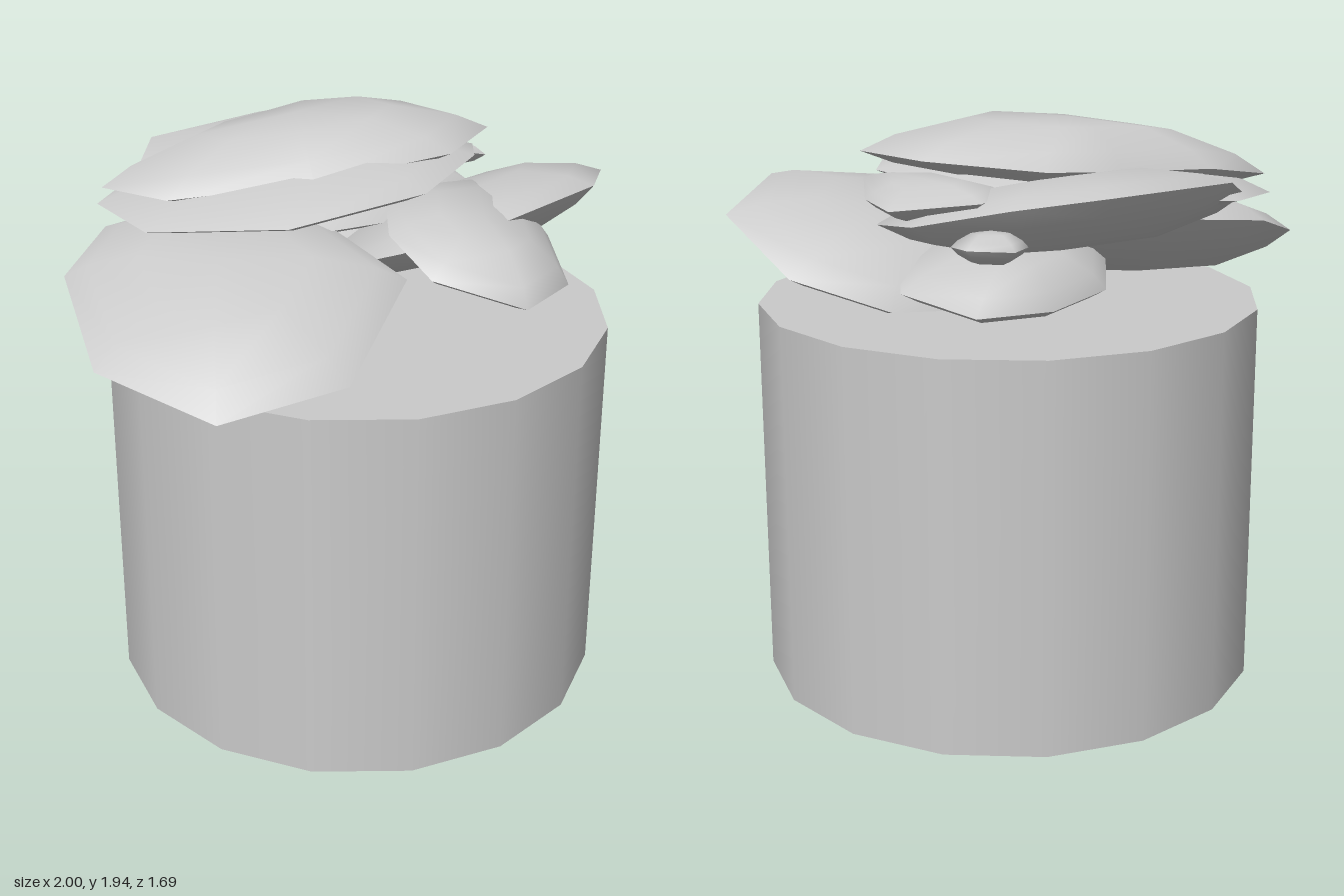
import * as THREE from 'three';

const stone = new THREE.MeshStandardMaterial({ color: 0xcacaca });
stone.name = 'stone grey';

// Lens-shaped slab: a sharp rim polygon, domed above by `up` and below by `down`
function slab(name, rim, up, down) {
  const pts = rim.map((p) => new THREE.Vector3(...p));
  const n = pts.length;
  const centre = new THREE.Vector3();
  pts.forEach((p) => centre.addScaledVector(p, 1 / n));
  const normal = new THREE.Vector3();
  pts.forEach((p, i) => {
    const a = p.clone().sub(centre);
    normal.add(a.cross(pts[(i + 1) % n].clone().sub(centre)));
  });
  normal.normalize();
  if (normal.y < 0) {
    normal.negate();
    pts.reverse();
  }
  const pos = [];
  const index = [];
  const scales = [1, 0.84, 0.5];
  // Each side has its own vertices, so the rim stays creased
  for (const bulge of [up, -down]) {
    const base = pos.length / 3;
    const tri = (a, b, c) => (bulge > 0 ? index.push(a, b, c) : index.push(a, c, b));
    for (const s of scales) {
      for (const p of pts) {
        const v = centre.clone().lerp(p, s).addScaledVector(normal, bulge * (1 - s ** 3));
        pos.push(v.x, v.y, v.z);
      }
    }
    const top = centre.clone().addScaledVector(normal, bulge);
    pos.push(top.x, top.y, top.z);
    const apex = base + scales.length * n;
    for (let i = 0; i < n; i++) {
      const j = (i + 1) % n;
      for (let r = 0; r < scales.length - 1; r++) {
        const o = base + r * n;
        tri(o + i, o + j, o + n + j);
        tri(o + i, o + n + j, o + n + i);
      }
      const o = base + (scales.length - 1) * n;
      tri(o + i, o + j, apex);
    }
  }
  const geo = new THREE.BufferGeometry();
  geo.setAttribute('position', new THREE.Float32BufferAttribute(pos, 3));
  geo.setIndex(index);
  geo.computeVertexNormals();
  const mesh = new THREE.Mesh(geo, stone);
  mesh.name = name;
  return mesh;
}

export function createModel() {
  const group = new THREE.Group();
  group.name = 'pedestal with slabs';

  // Sixteen-sided pedestal
  const pedestal = new THREE.Mesh(new THREE.CylinderGeometry(0.845, 0.845, 1.3, 16), stone);
  pedestal.name = 'pedestal';
  pedestal.position.set(0.043, 0.65, 0);
  group.add(pedestal);

  // Lower layer
  group.add(slab('lowerRightSlab', [
    [-1, 1.38, 0.09], [-0.8, 1.3, 0.475], [-0.37, 1.34, 0.55], [0.05, 1.5, 0.27],
    [0, 1.59, -0.2], [-0.3, 1.61, -0.5], [-0.62, 1.58, -0.53], [-0.85, 1.5, -0.39],
  ], 0.14, 0.14));
  group.add(slab('lowerLeftSlab', [
    [0.34, 1.67, 0.39], [0.73, 1.72, 0.39], [1, 1.65, 0.13], [0.94, 1.5, -0.21],
    [0.68, 1.4, -0.38], [0.25, 1.36, -0.38], [-0.06, 1.42, -0.12], [0.08, 1.56, 0.2],
  ], 0.13, 0.11));
  group.add(slab('lowerBackSlab', [
    [0.52, 1.41, -0.62], [0.66, 1.46, -0.4], [0.5, 1.52, -0.1], [0.05, 1.5, -0.1],
    [-0.15, 1.46, -0.3], [0, 1.42, -0.53], [0.25, 1.4, -0.62],
  ], 0.12, 0.08));

  // Middle layer
  group.add(slab('frontSlab', [
    [0.18, 1.52, 0.72], [0.47, 1.49, 0.58], [0.6, 1.55, 0.32], [0.5, 1.67, 0],
    [0.15, 1.71, 0], [-0.01, 1.66, 0.25], [-0.01, 1.58, 0.48],
  ], 0.11, 0.08));
  group.add(slab('backSlab', [
    [0.17, 1.77, -0.81], [0.42, 1.73, -0.65], [0.62, 1.66, -0.4], [0.6, 1.62, -0.12],
    [0.2, 1.58, -0.02], [-0.25, 1.58, -0.1], [-0.52, 1.68, -0.55], [-0.3, 1.77, -0.77],
  ], 0.1, 0.13));
  group.add(slab('backPebble', [
    [0.44, 1.62, -0.71], [0.55, 1.62, -0.62], [0.54, 1.61, -0.5],
    [0.38, 1.61, -0.48], [0.34, 1.61, -0.62],
  ], 0.05, 0.05));

  // Upper layer
  group.add(slab('upperSlab', [
    [0.12, 1.78, 0.27], [-0.33, 1.72, 0.16], [-0.65, 1.67, -0.19], [-0.65, 1.67, -0.52],
    [-0.4, 1.69, -0.68], [0.1, 1.71, -0.55], [0.45, 1.76, -0.35], [0.56, 1.78, -0.05],
    [0.45, 1.8, 0.1],
  ], 0.1, 0.08));
  group.add(slab('topSlab', [
    [-0.64, 1.73, -0.5], [-0.4, 1.77, -0.53], [-0.05, 1.79, -0.53], [0.22, 1.81, -0.53],
    [0.53, 1.84, -0.31], [0.6, 1.84, -0.02], [0.32, 1.84, 0.14], [-0.15, 1.8, 0.03],
    [-0.54, 1.74, -0.24],
  ], 0.14, 0.08));
  group.add(slab('sideSlab', [
    [0.46, 1.74, -0.55], [0.66, 1.7, -0.33], [0.65, 1.71, -0.15],
    [0.58, 1.75, 0], [0.4, 1.76, -0.2], [0.3, 1.74, -0.42],
  ], 0.05, 0.07));

  return group;
}
